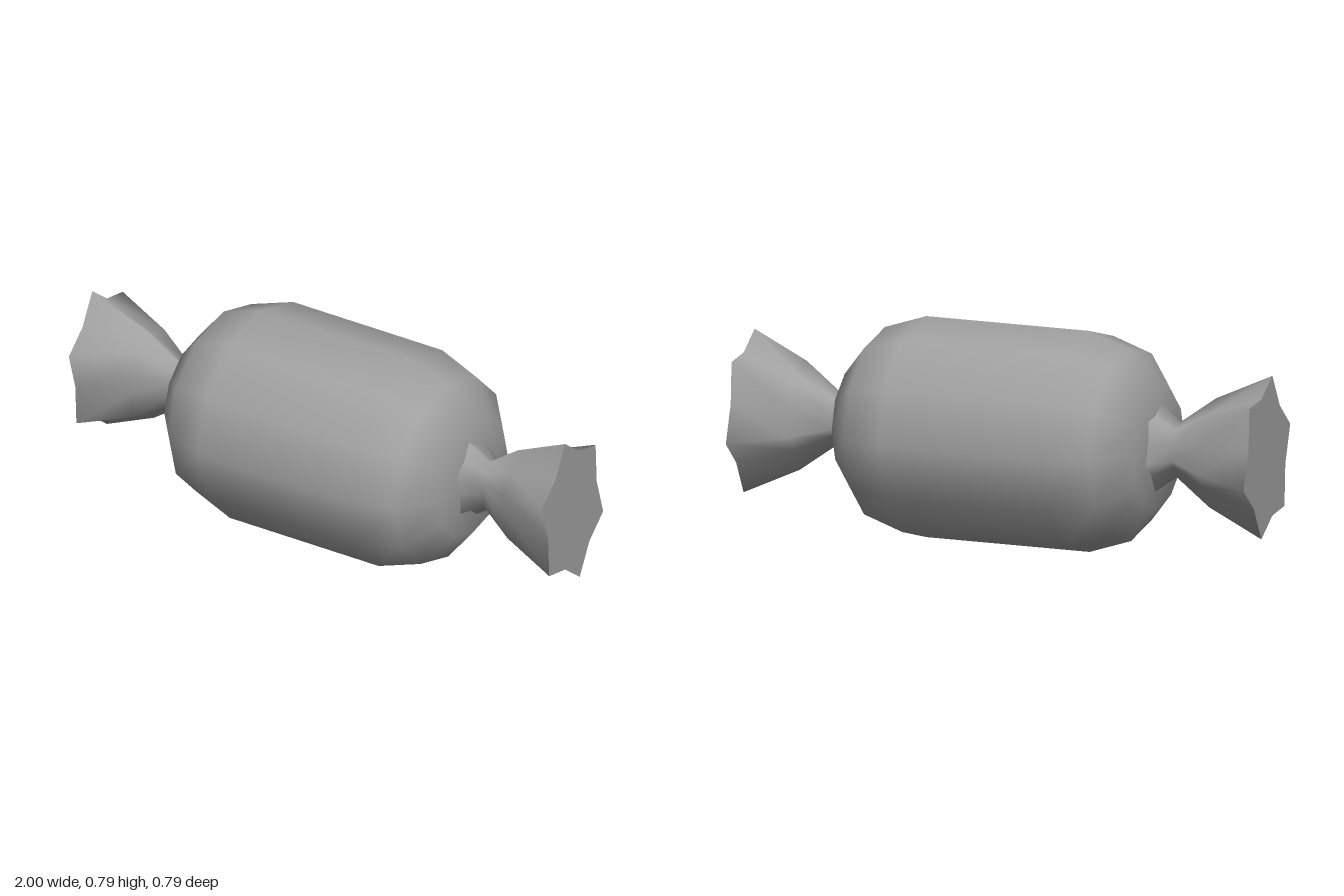
import * as THREE from 'three';

const CENTRE_Y = 0.394;

// Half of the pleated outline as [z, y]; the other half is its point reflection
const HALF = [[0.045, 0.283], [-0.045, 0.214], [-0.143, 0.197], [-0.15, 0.05], [-0.19, -0.087], [-0.105, -0.167]];
const OUTLINE = [...HALF, ...HALF.map(([z, y]) => [-z, -y])];

// Twisted wrapper rings as [x, scale of the outline]
const RINGS = [[0.575, 0.55], [0.66, 0.34], [0.79, 0.665], [1, 1]];

function surface(positions, indices, side) {
  // Mirrored surfaces need their corners in the opposite order
  if (side < 0) indices.reverse();
  const geometry = new THREE.BufferGeometry();
  geometry.setAttribute('position', new THREE.Float32BufferAttribute(positions, 3));
  geometry.setIndex(indices);
  geometry.computeVertexNormals();
  return geometry;
}

// Pleated skirt that flares on both sides of the pinched neck
function skirtGeometry(side) {
  const n = OUTLINE.length;
  const positions = [];
  const indices = [];
  RINGS.forEach(([x, s], i) => {
    OUTLINE.forEach(([z, y], j) => {
      positions.push(side * x, y * s, z * s);
      if (i === RINGS.length - 1) return;
      const a = i * n + j;
      const b = i * n + (j + 1) % n;
      indices.push(a, a + n, b, b, a + n, b + n);
    });
  });
  return surface(positions, indices, side);
}

// Flat star-shaped face closing the outer end
function endGeometry(side) {
  const n = OUTLINE.length;
  const positions = [side, 0, 0];
  const indices = [];
  OUTLINE.forEach(([z, y], j) => {
    positions.push(side, y, z);
    indices.push(0, 1 + (j + 1) % n, 1 + j);
  });
  return surface(positions, indices, side);
}

export function createModel() {
  const model = new THREE.Group();
  model.name = 'wrappedCandy';
  const wrapper = new THREE.MeshStandardMaterial({ color: 0xa0a0a0, side: THREE.DoubleSide });
  wrapper.name = 'wrapperGrey';

  const add = (parent, name, geometry) => {
    const mesh = new THREE.Mesh(geometry, wrapper);
    mesh.name = name;
    parent.add(mesh);
  };

  // Twelve-sided barrel with bevelled ends, lying along x
  const half = [[0, 0.58], [0.213, 0.58], [0.341, 0.475], [0.393, 0.315]];
  const profile = [...half.map(([r, x]) => [r, -x]), ...half.slice().reverse()]
    .map(([r, x]) => new THREE.Vector2(r, x));
  add(model, 'candyBody', new THREE.LatheGeometry(profile, 12).rotateZ(-Math.PI / 2));

  // Twisted wrapper ends, mirrored left and right
  for (const side of [1, -1]) {
    const twist = new THREE.Group();
    twist.name = side > 0 ? 'leftTwist' : 'rightTwist';
    add(twist, 'pleatedSkirt', skirtGeometry(side));
    add(twist, 'twistEnd', endGeometry(side));
    model.add(twist);
  }

  model.children.forEach((part) => { part.position.y = CENTRE_Y; });
  return model;
}
